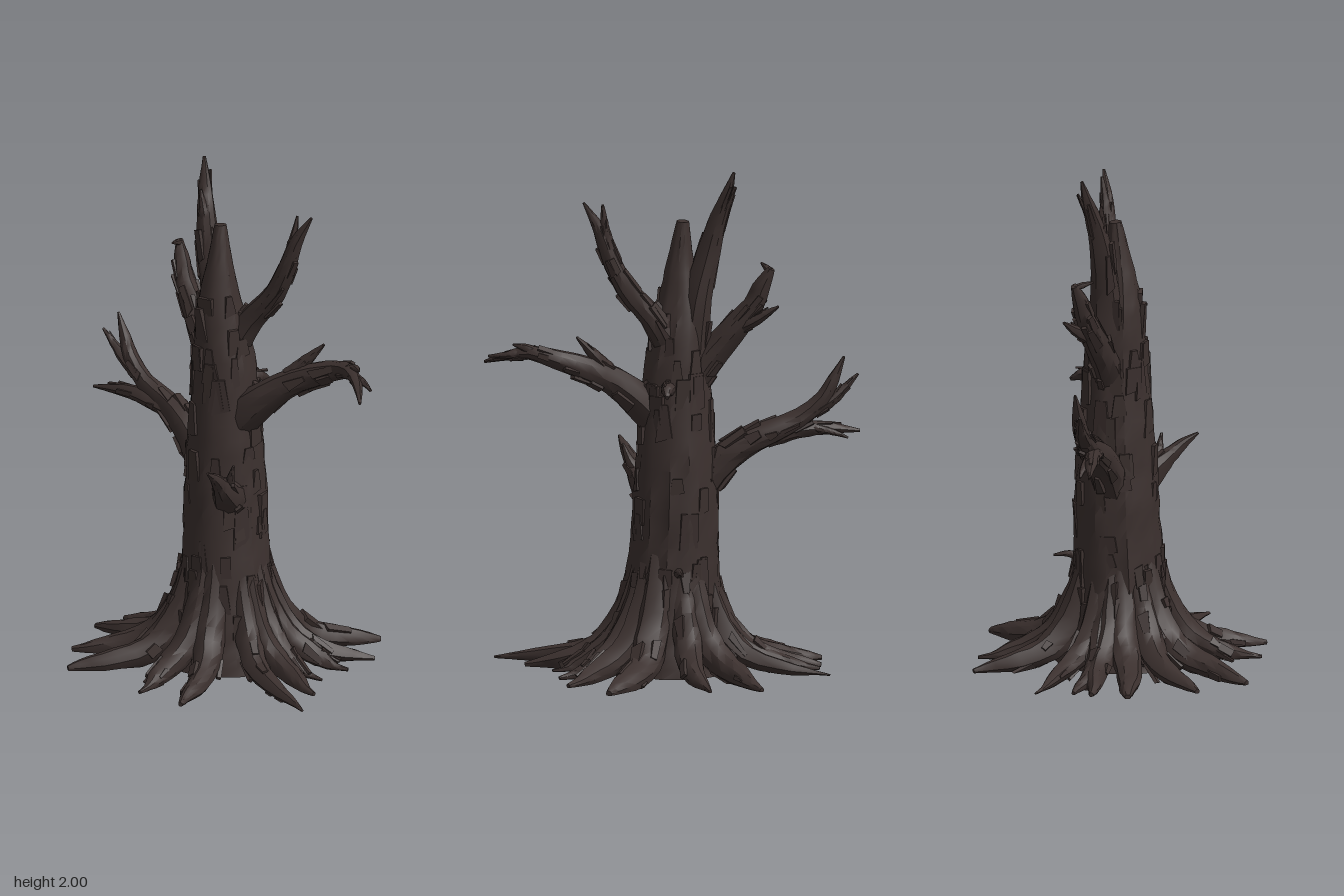
import * as THREE from 'three';
import { mergeGeometries, toCreasedNormals } from 'three/addons/utils/BufferGeometryUtils.js';

let seed = 7;
function rand() {
  seed = (seed * 16807) % 2147483647;
  return seed / 2147483647;
}

// Curve and radius lookup through control points [x, y, z, radius]
function makePath(points) {
  const curve = new THREE.CatmullRomCurve3(points.map(p => new THREE.Vector3(p[0], p[1], p[2])), false, 'centripetal');
  const radius = t => {
    const f = Math.min(t * (points.length - 1), points.length - 1.0001), i = Math.floor(f);
    return THREE.MathUtils.lerp(points[i][3], points[i + 1][3], f - i);
  };
  return { curve, radius };
}

// Tapered limb with lengthwise bark ridges and loose bark plates
function limbGeometry(points, { sides = 10, rings = 14, rough = 0.1, plates = 10, size = 1, plateEnd = 0.85 } = {}) {
  const { curve, radius } = makePath(points);
  const frames = curve.computeFrenetFrames(rings, false);
  const ridges = Array.from({ length: sides }, () => (rand() - 0.5) * 2);
  const pos = [], index = [];
  const at = (t, i, a, r) => curve.getPoint(t)
    .addScaledVector(frames.normals[i], Math.cos(a) * r)
    .addScaledVector(frames.binormals[i], Math.sin(a) * r);
  for (let i = 0; i <= rings; i++) {
    const t = i / rings;
    for (let j = 0; j < sides; j++) {
      const r = radius(t) * (1 + rough * (ridges[j] * 0.7 + (rand() - 0.5)));
      const p = at(t, i, j / sides * Math.PI * 2, r);
      pos.push(p.x, Math.max(p.y, 0), p.z);
    }
  }
  for (let i = 0; i < rings; i++) for (let j = 0; j < sides; j++) {
    const a = i * sides + j, b = i * sides + (j + 1) % sides;
    index.push(a, b, b + sides, a, b + sides, a + sides);
  }
  // Closed ends
  const first = curve.getPoint(0), last = curve.getPoint(1), n = pos.length / 3;
  pos.push(first.x, first.y, first.z, last.x, last.y, last.z);
  for (let j = 0; j < sides; j++) {
    const k = (j + 1) % sides, top = rings * sides;
    index.push(k, j, n, top + j, top + k, n + 1);
  }
  const body = new THREE.BufferGeometry();
  body.setAttribute('position', new THREE.Float32BufferAttribute(pos, 3));
  body.setIndex(index);
  const parts = [toCreasedNormals(body, 0.6)];

  // Bark plates: tapered slabs, one end lifting slightly off the wood
  for (let k = 0; k < plates; k++) {
    const i = Math.floor((0.08 + rand() * (plateEnd - 0.08)) * rings), t = i / rings;
    const r = radius(t), a = rand() * Math.PI * 2;
    const w = Math.min(0.065 * size, r * 0.7) * (0.6 + rand() * 0.6);
    const slab = new THREE.BoxGeometry(w, (0.06 + rand() * 0.12) * size, Math.min(0.018, r * 0.3));
    slab.deleteAttribute('uv');
    const v = slab.attributes.position, narrow = 0.4 + rand() * 0.6;
    for (let q = 0; q < v.count; q++) {
      if (v.getY(q) > 0) v.setX(q, v.getX(q) * narrow);
      else if (v.getX(q) > 0) v.setY(q, v.getY(q) * 0.7);
    }
    slab.rotateX((rand() - 0.5) * 0.12);
    const normal = at(t, i, a, 1).sub(curve.getPoint(t)).normalize();
    const tangent = frames.tangents[i];
    const m = new THREE.Matrix4().makeBasis(new THREE.Vector3().crossVectors(tangent, normal), tangent, normal);
    m.setPosition(at(t, i, a, r * 0.97));
    slab.applyMatrix4(m);
    for (let q = 0; q < v.count; q++) v.setY(q, Math.max(v.getY(q), 0));
    parts.push(toCreasedNormals(slab, 0.5));
  }
  return mergeGeometries(parts);
}

export function createModel() {
  const tree = new THREE.Group();
  tree.name = 'deadTree';
  const wood = new THREE.MeshStandardMaterial({ color: 0x3b302e });
  wood.name = 'dark wood';

  function add(name, points, options) {
    const mesh = new THREE.Mesh(limbGeometry(points, options), wood);
    mesh.name = name;
    tree.add(mesh);
  }

  // Trunk, ending in a broken stub
  add('trunk', [
    [0, 0, 0, 0.25], [0, 0.12, 0, 0.22], [0, 0.3, 0, 0.185], [0.005, 0.5, -0.01, 0.168],
    [0.01, 0.7, -0.015, 0.163], [0.01, 0.9, -0.015, 0.15], [0.01, 1.1, -0.015, 0.133],
    [0.01, 1.25, -0.02, 0.12], [0.005, 1.4, -0.035, 0.102], [0, 1.53, -0.035, 0.075],
    [0.005, 1.66, -0.035, 0.046], [0.015, 1.79, -0.04, 0.024],
  ], { sides: 26, rings: 36, rough: 0.06, plates: 90, plateEnd: 0.8 });

  // Leading spike and its side splinter
  add('topSpike', [
    [0.03, 1.28, -0.07, 0.07], [0.05, 1.48, -0.09, 0.06], [0.06, 1.65, -0.13, 0.048],
    [0.085, 1.8, -0.165, 0.036], [0.115, 1.9, -0.195, 0.025], [0.14, 2, -0.22, 0.006],
  ], { plates: 10 });
  add('topSplinter', [[0.05, 1.55, -0.09, 0.03], [0.05, 1.65, -0.1, 0.022], [0.055, 1.75, -0.115, 0.005]], { plates: 2, size: 0.5 });
  add('topSplinter', [[0.07, 1.7, -0.14, 0.03], [0.065, 1.8, -0.16, 0.022], [0.065, 1.89, -0.18, 0.005]], { plates: 1, size: 0.5 });

  // Upper front branch with a forked end
  add('upperFrontBranch', [
    [0.03, 1.27, 0.0, 0.065], [0.05, 1.41, 0.085, 0.052], [0.06, 1.53, 0.19, 0.043],
    [0.06, 1.65, 0.255, 0.037], [0.06, 1.78, 0.305, 0.026], [0.075, 1.89, 0.37, 0.005],
  ], { plates: 14, size: 0.7 });
  add('upperFrontFork', [[0.06, 1.63, 0.25, 0.03], [0.065, 1.76, 0.28, 0.022], [0.08, 1.88, 0.295, 0.005]], { plates: 3, size: 0.5 });

  // Long front branch that arches and droops
  add('longFrontBranch', [
    [0.0, 0.97, 0.04, 0.08], [0.015, 1.08, 0.14, 0.075], [0.05, 1.17, 0.25, 0.058],
    [0.09, 1.23, 0.37, 0.05], [0.1, 1.27, 0.48, 0.04], [0.06, 1.295, 0.58, 0.03],
    [0.0, 1.275, 0.66, 0.02], [-0.08, 1.24, 0.735, 0.006],
  ], { plates: 16, size: 0.65 });
  add('longFrontFork', [[0.06, 1.21, 0.27, 0.035], [0.09, 1.28, 0.33, 0.025], [0.11, 1.36, 0.405, 0.005]], { plates: 2, size: 0.5 });
  add('longFrontTwig', [[0.04, 1.295, 0.6, 0.022], [0.03, 1.285, 0.66, 0.015], [-0.01, 1.275, 0.735, 0.005]], { plates: 2, size: 0.4 });
  add('longFrontSpur', [[0.07, 1.285, 0.54, 0.025], [0.06, 1.315, 0.6, 0.018], [0.03, 1.325, 0.645, 0.004]], { plates: 1, size: 0.4 });

  // Upper back branch and fork
  add('upperBackBranch', [
    [0.03, 1.13, -0.06, 0.065], [0.06, 1.27, -0.155, 0.058], [0.1, 1.38, -0.24, 0.048],
    [0.125, 1.47, -0.305, 0.04], [0.14, 1.54, -0.33, 0.034], [0.165, 1.615, -0.365, 0.014],
  ], { plates: 12, size: 0.7 });
  add('upperBackFork', [[0.1, 1.37, -0.24, 0.033], [0.16, 1.42, -0.32, 0.022], [0.205, 1.47, -0.385, 0.005]], { plates: 3, size: 0.5 });
  add('upperBackHook', [[0.165, 1.605, -0.36, 0.014], [0.13, 1.615, -0.35, 0.012], [0.09, 1.625, -0.34, 0.004]], { plates: 0 });

  // Lower back branch with three ends
  add('lowerBackBranch', [
    [0.02, 0.68, -0.08, 0.08], [0.04, 0.8, -0.16, 0.072], [0.07, 0.89, -0.26, 0.06],
    [0.1, 0.95, -0.38, 0.05], [0.11, 1.0, -0.49, 0.04], [0.13, 1.08, -0.58, 0.032],
    [0.14, 1.16, -0.62, 0.024], [0.15, 1.25, -0.66, 0.005],
  ], { plates: 18, size: 0.7 });
  add('lowerBackFork', [[0.12, 1.03, -0.54, 0.032], [0.13, 1.09, -0.63, 0.024], [0.13, 1.175, -0.72, 0.005]], { plates: 3, size: 0.5 });
  add('lowerBackTwig', [[0.09, 0.93, -0.36, 0.042], [0.09, 0.955, -0.5, 0.034], [0.09, 0.955, -0.61, 0.024], [0.09, 0.94, -0.735, 0.006]], { plates: 5, size: 0.6 });
  add('lowerBackSpur', [[0.1, 0.96, -0.55, 0.02], [0.12, 0.94, -0.63, 0.013], [0.13, 0.92, -0.68, 0.004]], { plates: 0 });

  // Short side stub and small spurs on the trunk
  add('sideStub', [
    [-0.03, 0.68, 0.06, 0.085], [-0.12, 0.74, 0.095, 0.06], [-0.19, 0.795, 0.12, 0.033],
    [-0.25, 0.845, 0.14, 0.02], [-0.305, 0.88, 0.15, 0.005],
  ], { plates: 3, size: 0.5 });
  add('sideStubTwig', [[-0.13, 0.76, 0.11, 0.03], [-0.15, 0.81, 0.14, 0.018], [-0.16, 0.875, 0.165, 0.005]], { plates: 0 });
  add('trunkSpur', [[0.14, 0.4, 0.01, 0.025], [0.2, 0.42, 0.01, 0.014], [0.26, 0.415, 0.01, 0.004]], { plates: 0 });
  add('trunkKnot', [[0.1, 1.14, 0.03, 0.035], [0.15, 1.14, 0.05, 0.025], [0.195, 1.12, 0.06, 0.008]], { plates: 3, size: 0.4 });

  // Roots: tip x, tip z, thickness, tip thickness
  const roots = [
    [-0.515, -0.385, 1, 1], [-0.325, -0.515, 1, 0.9], [-0.055, -0.61, 0.95, 1], [0.09, -0.58, 0.9, 0.9],
    [0.16, -0.56, 0.8, 0.8], [0.31, -0.57, 0.8, 0.4], [0.565, -0.245, 1.05, 0.8], [0.555, -0.04, 0.95, 0.6],
    [0.52, 0.36, 1.1, 1], [0.33, 0.485, 0.95, 0.8], [0.16, 0.485, 0.85, 0.7], [0.0, 0.48, 0.8, 0.6],
    [-0.15, 0.56, 0.9, 0.8], [-0.33, 0.645, 0.85, 0.5], [-0.57, 0.225, 1, 0.8], [-0.56, 0.01, 0.95, 0.6],
  ];
  roots.forEach(([x, z, s, tip], i) => {
    const reach = Math.hypot(x, z), dx = x / reach, dz = z / reach;
    const bend = (i % 2 ? 1 : -1) * 0.015;
    const point = (d, y, r, b = 0) => [dx * d - dz * b, y, dz * d + dx * b, r * s];
    add('root', [
      point(0.105, 0.54, 0.04), point(0.127, 0.41, 0.05), point(0.163, 0.27, 0.058), point(0.225, 0.145, 0.063),
      point(0.32, 0.065, 0.056, bend), point(reach * 0.55 + 0.12, 0.028, 0.03 + 0.016 * tip, bend),
      point(reach - 0.06, 0.014, 0.029 * tip), point(reach, 0.008, 0.012 * tip),
    ], { sides: 10, rings: 16, rough: 0.12, plates: 9, size: 0.65, plateEnd: 0.8 });
  });

  return tree;
}
